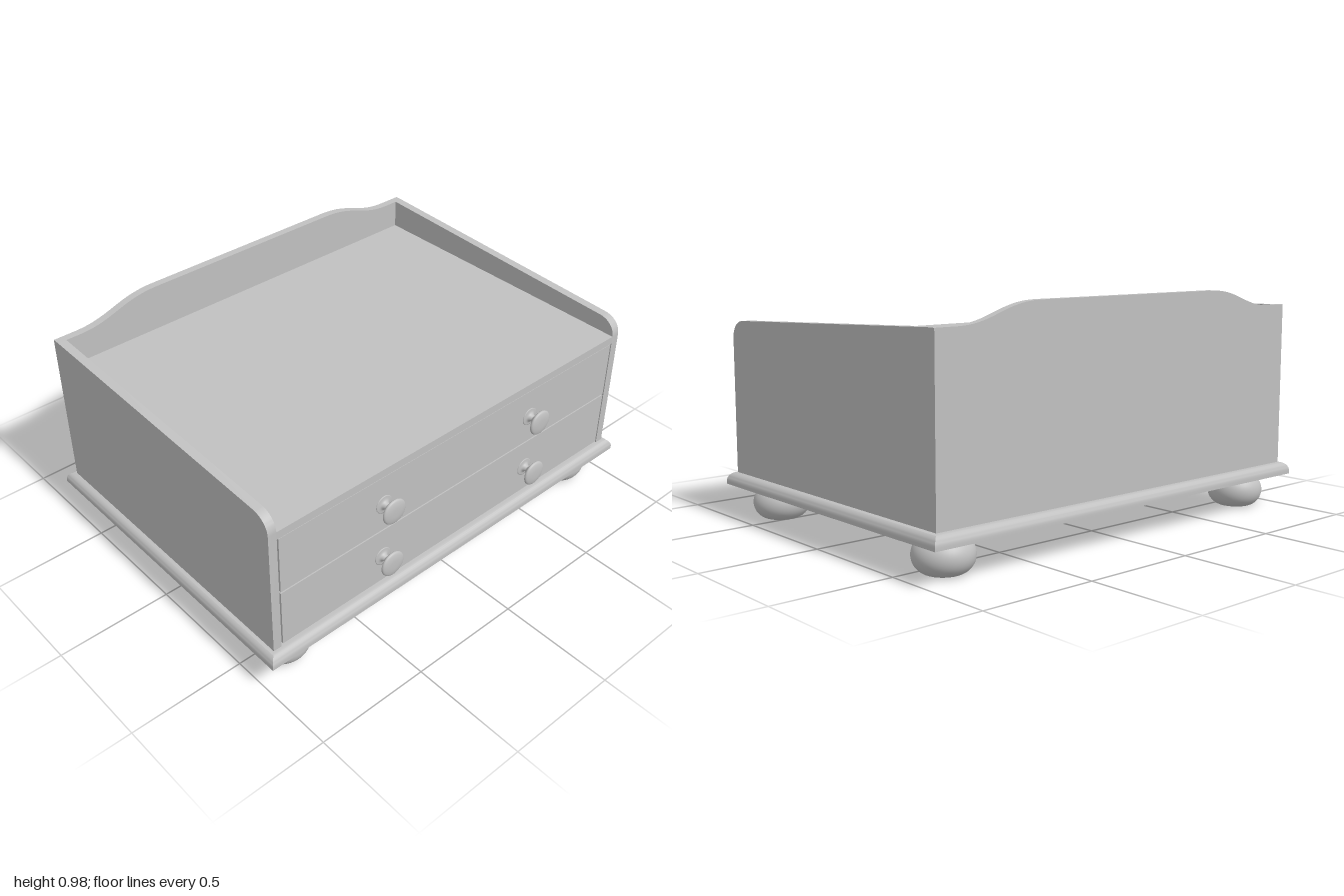
import * as THREE from 'three';
import { toCreasedNormals } from 'three/addons/utils/BufferGeometryUtils.js';

export function createModel() {
  const model = new THREE.Group();
  model.name = 'drawerChest';
  const paint = new THREE.MeshStandardMaterial({ color: 0xc0c0c0 });
  paint.name = 'plain grey';

  const add = (name, geometry, x = 0, y = 0, z = 0) => {
    const mesh = new THREE.Mesh(geometry, paint);
    mesh.name = name;
    mesh.position.set(x, y, z);
    model.add(mesh);
    return mesh;
  };
  // Box given by its limits on each axis
  const slab = (name, x0, x1, y0, y1, z0, z1) =>
    add(name, new THREE.BoxGeometry(x1 - x0, y1 - y0, z1 - z0),
      (x0 + x1) / 2, (y0 + y1) / 2, (z0 + z1) / 2);

  const floorY = 0.195, shelfY = 0.772;
  const outerX = 0.965, innerX = 0.927;
  const frontZ = 0.68, backZ = -0.71, backInnerZ = -0.675;

  // Base board: stacked rectangles with a rounded, mitred upper edge
  const halfX = 1, halfZ = 0.732, baseMidZ = -0.0165;
  const round = 0.035, roundHeight = 0.04, steps = 8;
  const levels = [[0, 0.143]];
  for (let i = 0; i <= steps; i++) {
    const a = (i / steps) * Math.PI / 2;
    levels.push([round * (1 - Math.cos(a)), floorY - roundHeight * (1 - Math.sin(a))]);
  }
  const ring = ([inset, y]) => [[1, 1], [1, -1], [-1, -1], [-1, 1]].map(
    ([sx, sz]) => [sx * (halfX - inset), y, sz * (halfZ - inset)]);
  const points = [];
  const quad = (a, b, c, d) => points.push(...a, ...b, ...c, ...a, ...c, ...d);
  const rings = levels.map(ring);
  for (let i = 0; i < rings.length - 1; i++) {
    for (let k = 0; k < 4; k++) {
      const n = (k + 1) % 4;
      quad(rings[i][k], rings[i][n], rings[i + 1][n], rings[i + 1][k]);
    }
  }
  const top = rings[rings.length - 1];
  quad(top[0], top[1], top[2], top[3]);
  quad(rings[0][3], rings[0][2], rings[0][1], rings[0][0]);
  const base = new THREE.BufferGeometry();
  base.setAttribute('position', new THREE.Float32BufferAttribute(points, 3));
  add('baseBoard', toCreasedNormals(base, 0.6), 0, 0, baseMidZ);

  // Side panels: sloping top with a rounded front corner (shape x runs to the back)
  const side = new THREE.Shape();
  side.moveTo(-frontZ, floorY);
  side.lineTo(-backInnerZ, floorY);
  side.lineTo(-backInnerZ, 0.9);
  side.lineTo(-0.6, 0.848);
  side.bezierCurveTo(-0.645, 0.846, -frontZ, 0.815, -frontZ, 0.77);
  side.closePath();
  const sideGeometry = toCreasedNormals(
    new THREE.ExtrudeGeometry(side, { depth: outerX - innerX, bevelEnabled: false, curveSegments: 14 })
      .rotateY(Math.PI / 2), 0.5);
  add('leftSide', sideGeometry, innerX);
  add('rightSide', sideGeometry, -outerX);

  // Back panel with a raised, curved crest
  const back = new THREE.Shape();
  back.moveTo(-outerX, floorY);
  back.lineTo(outerX, floorY);
  back.lineTo(outerX, 0.9);
  back.lineTo(0.86, 0.9);
  back.bezierCurveTo(0.7, 0.902, 0.65, 0.975, 0.48, 0.976);
  back.lineTo(-0.48, 0.976);
  back.bezierCurveTo(-0.65, 0.975, -0.7, 0.902, -0.86, 0.9);
  back.lineTo(-outerX, 0.9);
  back.closePath();
  add('backPanel', toCreasedNormals(
    new THREE.ExtrudeGeometry(back, { depth: backInnerZ - backZ, bevelEnabled: false, curveSegments: 20 }), 0.5),
  0, 0, backZ);

  // Top shelf and the carcass behind the drawers
  slab('topShelf', -innerX, innerX, 0.737, shelfY, backInnerZ, frontZ);
  slab('carcass', -innerX, innerX, floorY, 0.737, backInnerZ, 0.64);

  // Turned knob profile, from mounting plate to domed face
  const knobProfile = new THREE.SplineCurve([
    [0.04, 0.003], [0.022, 0.006], [0.014, 0.018], [0.014, 0.026], [0.03, 0.038],
    [0.052, 0.05], [0.056, 0.057], [0.05, 0.064], [0.028, 0.069], [0, 0.07],
  ].map(([r, h]) => new THREE.Vector2(r, h))).getPoints(36);
  knobProfile.forEach((p) => { p.x = Math.max(p.x, 0); });
  knobProfile[knobProfile.length - 1].x = 0;
  const knobGeometry = new THREE.LatheGeometry(
    [new THREE.Vector2(0.04, 0), ...knobProfile], 32).rotateX(Math.PI / 2);

  // Two drawers, each with a pair of knobs
  const drawers = [
    { name: 'lowerDrawer', y0: 0.205, y1: 0.467, knobY: 0.333 },
    { name: 'upperDrawer', y0: 0.474, y1: 0.735, knobY: 0.602 },
  ];
  for (const { name, y0, y1, knobY } of drawers) {
    slab(name, -0.92, 0.92, y0, y1, 0.64, frontZ);
    for (const x of [-0.413, 0.413]) add(name + 'Knob', knobGeometry, x, knobY, frontZ);
  }

  // Bun feet
  const footProfile = [new THREE.Vector2(0, 0)];
  for (let i = 0; i <= 20; i++) {
    const a = -Math.PI / 2 + (i / 20) * Math.PI;
    footProfile.push(new THREE.Vector2(0.05 + 0.07 * Math.cos(a), 0.0715 + 0.0715 * Math.sin(a)));
  }
  footProfile.push(new THREE.Vector2(0, 0.143));
  const footGeometry = new THREE.LatheGeometry(footProfile, 40);
  for (const x of [-0.83, 0.83]) {
    for (const z of [0.549, -0.577]) add('bunFoot', footGeometry, x, 0, z);
  }

  return model;
}
